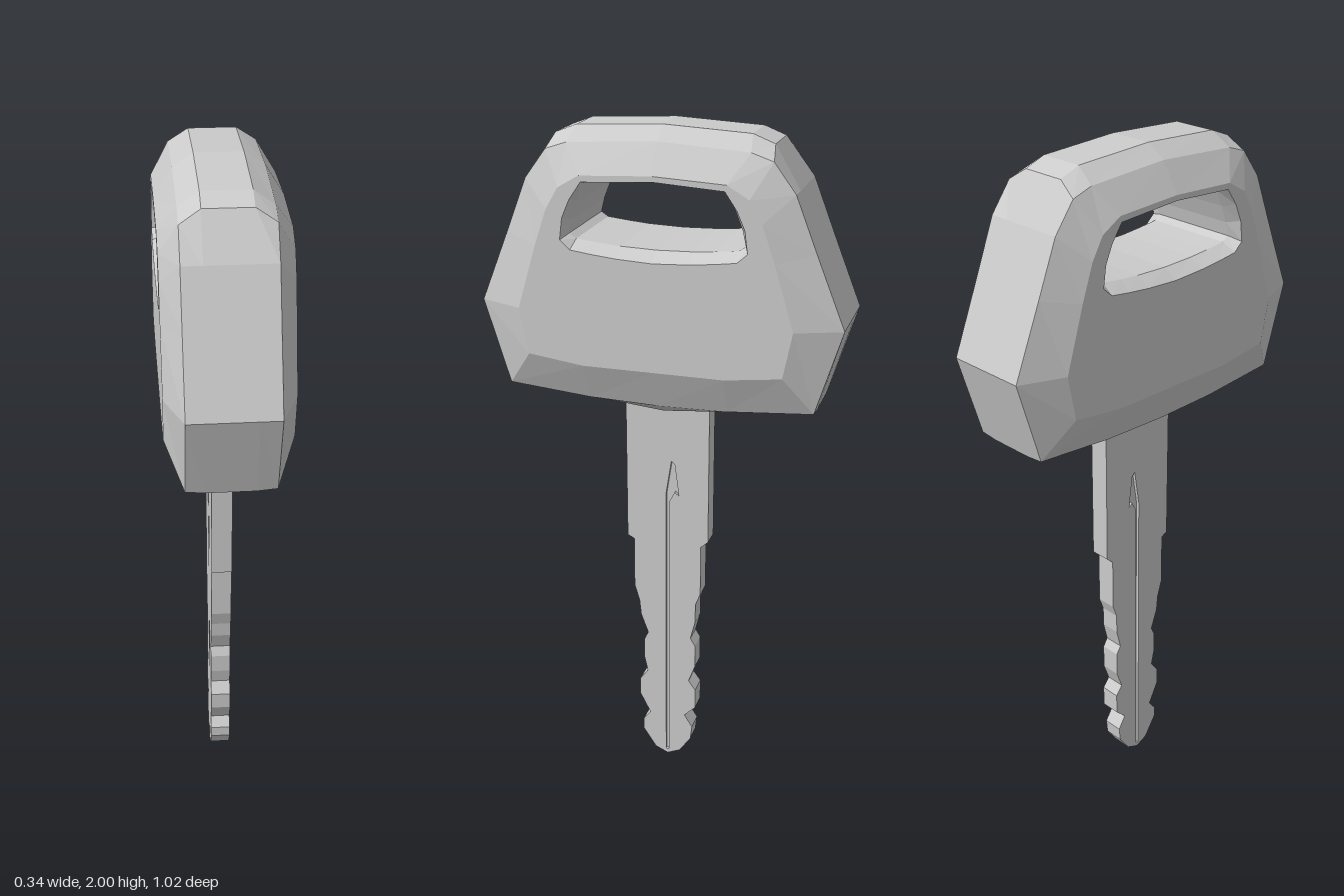
import * as THREE from 'three';

const grey = new THREE.MeshStandardMaterial({ color: 0xcccccc, flatShading: true });

// Half loops of the head as [z, y], from top centre down to bottom centre
const rim = [[0, 2], [0.24, 1.988], [0.3, 1.965], [0.37, 1.85], [0.43, 1.7], [0.512, 1.5], [0.44, 1.255], [0.13, 1.212], [0, 1.2]];
const bevel = [[0, 1.965], [0.25, 1.95], [0.31, 1.93], [0.37, 1.85], [0.43, 1.7], [0.512, 1.5], [0.44, 1.26], [0.2, 1.24], [0, 1.235]];
const face = [[0, 1.885], [0.2, 1.875], [0.26, 1.84], [0.295, 1.78], [0.33, 1.68], [0.385, 1.5], [0.36, 1.37], [0.2, 1.35], [0, 1.35]];
const holeEdge = [[0, 1.87], [0.195, 1.858], [0.228, 1.81], [0.25, 1.76], [0.258, 1.7], [0.23, 1.675], [0.17, 1.667], [0.1, 1.66], [0, 1.655]];
const holeWall = [[0, 1.86], [0.19, 1.85], [0.215, 1.8], [0.235, 1.75], [0.245, 1.71], [0.225, 1.697], [0.16, 1.69], [0.1, 1.685], [0, 1.682]];

// Completes a half loop by mirroring it in z
const fullLoop = half => [...half, ...half.slice(1, -1).reverse().map(([z, y]) => [-z, y])];

// Skins the closed ring of loops that runs around the head and through its hole
function headGeometry() {
  const half = [[0.13, holeWall], [0.17, holeEdge], [0.17, face], [0.12, bevel], [0.065, rim]];
  const rings = [...half.map(([x, l]) => [-x, l]), ...half.slice().reverse()]
    .map(([x, l]) => fullLoop(l).map(([z, y]) => [x, y, z]));
  const n = rings[0].length;
  const index = [];
  rings.forEach((_, i) => {
    const k = (i + 1) % rings.length;
    for (let j = 0; j < n; j++) {
      const m = (j + 1) % n;
      const a = i * n + j, b = i * n + m, c = k * n + m, d = k * n + j;
      index.push(a, b, c, a, c, d);
    }
  });
  const geo = new THREE.BufferGeometry();
  geo.setAttribute('position', new THREE.Float32BufferAttribute(rings.flat(2), 3));
  geo.setIndex(index);
  geo.computeVertexNormals();
  return geo;
}

// Blade edges as [z, y]: the front edge runs down, the back edge runs up
const frontEdge = [[0.125, 1.23], [0.125, 0.77], [0.105, 0.76], [0.105, 0.6], [0.09, 0.55], [0.085, 0.5], [0.063, 0.44],
  [0.076, 0.41], [0.076, 0.35], [0.065, 0.3], [0.09, 0.265], [0.09, 0.21], [0.057, 0.145], [0.08, 0.115], [0.08, 0.08], [0.04, 0.018], [0, 0]];
const backEdge = [[-0.04, 0.018], [-0.075, 0.07], [-0.08, 0.115], [-0.055, 0.155], [-0.09, 0.19], [-0.09, 0.255], [-0.068, 0.285],
  [-0.088, 0.34], [-0.088, 0.415], [-0.073, 0.44], [-0.088, 0.5], [-0.088, 0.56], [-0.103, 0.6], [-0.103, 0.76], [-0.125, 0.78], [-0.125, 1.23]];
const groove = [[0.005, 0.015], [0.005, 0.92], [-0.012, 1.03], [-0.022, 1.02], [-0.035, 0.92], [-0.022, 0.93], [-0.006, 0.9], [-0.005, 0.015]];

const toPoints = list => list.map(([z, y]) => new THREE.Vector2(-z, y));

// A flat layer of the blade between two x positions
function bladeLayer(name, x0, x1, grooved) {
  const shape = new THREE.Shape(toPoints([...frontEdge, ...backEdge]));
  if (grooved) shape.holes.push(new THREE.Path(toPoints(groove)));
  const geo = new THREE.ExtrudeGeometry(shape, { depth: x1 - x0, bevelEnabled: false });
  geo.rotateY(Math.PI / 2).translate(x0, 0, 0);
  const mesh = new THREE.Mesh(geo, grey);
  mesh.name = name;
  return mesh;
}

export function createModel() {
  const key = new THREE.Group();
  key.name = 'key';

  const head = new THREE.Mesh(headGeometry(), grey);
  head.name = 'head';

  // Solid core with a grooved layer on each side
  const blade = new THREE.Group();
  blade.name = 'blade';
  blade.add(
    bladeLayer('bladeCore', -0.02, 0.02, false),
    bladeLayer('leftBladeFace', 0.02, 0.03, true),
    bladeLayer('rightBladeFace', -0.03, -0.02, true)
  );

  key.add(head, blade);
  return key;
}
